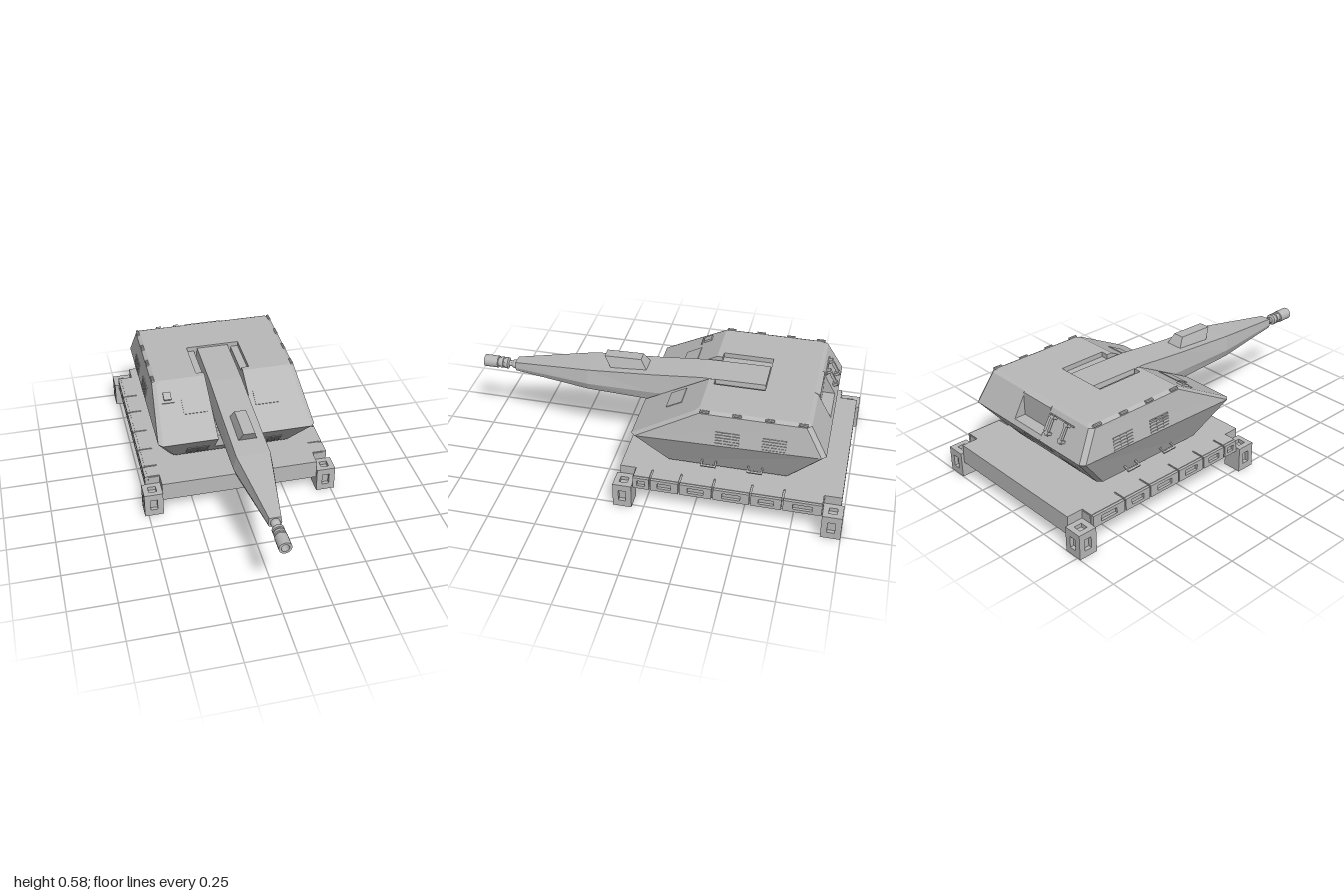
import * as THREE from 'three';

const grey = new THREE.MeshStandardMaterial({ color: 0xb8b8b8, flatShading: true });
grey.name = 'plain grey';

export function createModel() {
  const model = new THREE.Group();
  const add = (name, geo, parent = model) => {
    const m = new THREE.Mesh(geo, grey);
    m.name = name;
    parent.add(m);
    return m;
  };
  const group = (name) => {
    const g = new THREE.Group();
    g.name = name;
    model.add(g);
    return g;
  };
  // box given by its limits
  const span = (name, x0, x1, y0, y1, z0, z1, parent) => add(name,
    new THREE.BoxGeometry(Math.abs(x1 - x0), y1 - y0, Math.abs(z1 - z0))
      .translate((x0 + x1) / 2, (y0 + y1) / 2, (z0 + z1) / 2), parent);
  // box given by size, position and tilt
  const plate = (name, size, pos, rx, rz, parent) => {
    const m = add(name, new THREE.BoxGeometry(...size), parent);
    m.position.set(...pos);
    m.rotation.set(rx, 0, rz);
    return m;
  };
  // side profile of [z, y] points, extruded from x0 to x1
  const slab = (name, pts, x0, x1, parent) => add(name,
    new THREE.ExtrudeGeometry(new THREE.Shape(pts.map(p => new THREE.Vector2(...p))),
      { depth: x1 - x0, bevelEnabled: false }).rotateY(-Math.PI / 2).translate(x1, 0, 0), parent);
  // closed solid through convex loops, turned outward by its signed volume
  const loft = (loops) => {
    const tris = [], n = loops[0].length, last = loops[loops.length - 1];
    for (let i = 0; i + 1 < loops.length; i++) for (let j = 0; j < n; j++) {
      const k = (j + 1) % n, a = loops[i], b = loops[i + 1];
      tris.push([a[j], a[k], b[k]], [a[j], b[k], b[j]]);
    }
    for (let j = 1; j + 1 < n; j++)
      tris.push([loops[0][0], loops[0][j + 1], loops[0][j]], [last[0], last[j], last[j + 1]]);
    const V = p => new THREE.Vector3(...p);
    const vol = tris.reduce((s, [a, b, c]) => s + V(a).dot(V(b).cross(V(c))), 0);
    const pos = tris.flatMap(([a, b, c]) => vol > 0 ? [a, b, c] : [a, c, b]).flat();
    const g = new THREE.BufferGeometry();
    g.setAttribute('position', new THREE.Float32BufferAttribute(pos, 3));
    g.computeVertexNormals();
    return g;
  };
  // upright plate with a rectangular opening, centred, facing +z
  const frame = (w, h, hw, hh, t) => {
    const rect = (P, a, b) => new P([[-a, -b], [a, -b], [a, b], [-a, b]].map(p => new THREE.Vector2(...p)));
    const s = rect(THREE.Shape, w / 2, h / 2);
    s.holes.push(rect(THREE.Path, hw / 2, hh / 2));
    return new THREE.ExtrudeGeometry(s, { depth: t, bevelEnabled: false }).translate(0, 0, -t);
  };

  // Base platform and turntable
  span('platform', -0.42, 0.42, 0.08, 0.183, -0.985, 0.14);
  const ring = add('turntable', new THREE.CylinderGeometry(0.295, 0.295, 0.03, 40));
  ring.position.set(-0.017, 0.193, -0.4);

  for (const s of [-1, 1]) {
    // Corner feet with pocket openings on the outer faces and top
    for (const [z0, z1, d] of [[0.06, 0.157, 1], [-0.9, -1, -1]]) {
      const foot = group('cornerFoot'), t = 0.02;
      span('footCore', s * 0.42, s * 0.5, 0, 0.115, z0, z1 - d * t, foot);
      const zc = (z0 + z1) / 2, len = Math.abs(z1 - z0);
      const front = add('footEndPlate', frame(0.1, 0.135, 0.038, 0.062, t), foot);
      front.position.set(s * 0.47, 0.0675, z1);
      if (d < 0) front.rotation.y = Math.PI;
      const side = add('footSidePlate', frame(len, 0.135, 0.038, 0.062, t), foot);
      side.position.set(s * 0.52, 0.0675, zc);
      side.rotation.y = s * Math.PI / 2;
      const top = add('footTopPlate', frame(0.1, len, 0.042, 0.042, t), foot);
      top.position.set(s * 0.47, 0.135, zc);
      top.rotation.x = -Math.PI / 2;
    }

    // Side rail of slotted segments
    const rail = group('sideRail');
    span('railCore', s * 0.42, s * 0.48, 0.11, 0.178, -0.9, 0.06, rail);
    const cuts = [0.06, -0.03, -0.18, -0.35, -0.54, -0.7, -0.9];
    for (let i = 0; i < 6; i++) {
      const w = cuts[i] - cuts[i + 1] - 0.008, zc = (cuts[i] + cuts[i + 1]) / 2;
      span('railSegment', s * 0.42, s * 0.484, 0.12, 0.183, zc - w / 2, zc + w / 2, rail);
      const f = add('railFrame', frame(w, 0.065, w * 0.5, 0.03, 0.014), rail);
      f.position.set(s * 0.498, 0.1475, zc);
      f.rotation.y = s * Math.PI / 2;
    }

    // Turret side block: [half width, front z, back z, front y, back y] per level
    const levels = [[0.335, -0.07, -0.72, 0.2, 0.2], [0.418, 0.085, -0.885, 0.385, 0.405],
      [0.39, -0.23, -0.8, 0.555, 0.555], [0.37, -0.25, -0.78, 0.566, 0.566]];
    const c = 0.022;
    add('turretSide', loft(levels.map(([X, f, b, yf, yb]) => [
      [s * 0.145, yf, f], [s * (X - c), yf, f], [s * X, yf, f - c],
      [s * X, yb, b + c], [s * (X - c), yb, b], [s * 0.145, yb, b]])));

    // Strip beside the gun, sunk into the roof
    slab('gunRecessStrip', [[-0.07, 0.2], [0.085, 0.385], [-0.23, 0.555], [-0.25, 0.566], [-0.28, 0.566],
      [-0.28, 0.54], [-0.54, 0.54], [-0.54, 0.566], [-0.78, 0.566], [-0.8, 0.555], [-0.885, 0.405],
      [-0.72, 0.2]], s > 0 ? 0.104 : -0.145, s > 0 ? 0.145 : -0.104);

    // Grilles on the lower front and lower back
    const vents = group('grilles');
    for (let i = 0; i < 7; i++) {
      const y = 0.235 + i * 0.01;
      for (const x of [0.166, 0.229]) {
        plate('frontSlat', [0.058, 0.005, 0.008], [s * x, y, -0.07 + (y - 0.2) * 0.838], 0.697, 0, vents);
        plate('backSlat', [0.058, 0.005, 0.008], [s * x, y, -0.72 - (y - 0.2) * 0.805], -0.678, 0, vents);
      }
    }
    // Side louvres
    for (const z of [-0.4, -0.63]) for (const dz of [-0.041, 0, 0.041]) for (let i = 0; i < 5; i++) {
      const y = 0.407 + i * 0.015;
      plate('sideLouvre', [0.01, 0.007, 0.037], [s * (0.4165 - (y - 0.395) * 0.165), y, z + dz], 0, s * 0.163, vents);
    }
    // Flush panel on the front slope
    plate('frontPanel', [0.124, 0.004, 0.09], [s * 0.193, 0.4865, -0.1], 0.495, 0);

    // Side steps and roof hinges
    for (const z of [-0.305, -0.54]) {
      for (const dz of [-0.035, 0.035])
        plate('stepArm', [0.04, 0.008, 0.008], [s * 0.364, 0.235, z + dz], 0, -s * 0.4);
      plate('stepBar', [0.01, 0.01, 0.078], [s * 0.38, 0.228, z], 0, -s * 0.4);
    }
    for (const z of [-0.28, -0.44, -0.6, -0.76]) {
      const h = add('roofHinge', new THREE.CylinderGeometry(0.008, 0.008, 0.045, 8));
      h.rotation.x = Math.PI / 2;
      h.position.set(s * 0.381, 0.562, z);
    }
  }

  // Turret centre with gun slot in front and recess at the back
  slab('turretCentre', [[-0.07, 0.2], [-0.015, 0.265], [-0.015, 0.335], [-0.05, 0.335], [-0.05, 0.36],
    [-0.22, 0.39], [-0.54, 0.4], [-0.54, 0.566], [-0.78, 0.566], [-0.81, 0.553], [-0.81, 0.43],
    [-0.872, 0.43], [-0.885, 0.405], [-0.835, 0.343], [-0.8, 0.343], [-0.8, 0.3], [-0.72, 0.2]], -0.104, 0.104);

  // Tapered gun housing: [z, bottom, top, half width]
  add('gunHousing', loft([[-0.535, 0.39, 0.558, 0.1], [-0.2, 0.375, 0.553, 0.1], [0.05, 0.373, 0.53, 0.1],
    [0.4, 0.387, 0.506, 0.1], [0.82, 0.402, 0.452, 0.034]].map(([z, b, t, w]) => {
    const k = b + (t - b) * 0.35;
    return [[-w * 0.85, b, z], [w * 0.85, b, z], [w, k, z], [w * 0.86, t, z], [-w * 0.86, t, z], [-w, k, z]];
  })));

  // Barrel with collars and hollow muzzle
  const barrel = add('barrel', new THREE.LatheGeometry([[0, 0.8], [0.024, 0.8], [0.024, 0.835], [0.016, 0.85],
    [0.016, 0.862], [0.03, 0.868], [0.03, 0.885], [0.025, 0.887], [0.025, 0.893], [0.03, 0.895], [0.03, 0.91],
    [0.025, 0.912], [0.025, 0.922], [0.032, 0.924], [0.032, 1], [0.02, 1], [0.02, 0.95], [0, 0.95]]
    .map(p => new THREE.Vector2(...p)), 20));
  barrel.rotation.x = Math.PI / 2;
  barrel.position.y = 0.423;

  // Sight on the housing: leaning forward, narrower on top
  add('sight', loft([[[-0.05, 0.505, 0.28], [0.05, 0.505, 0.28], [0.05, 0.515, 0.085], [-0.05, 0.515, 0.085]],
    [[-0.03, 0.571, 0.32], [0.03, 0.571, 0.32], [0.03, 0.576, 0.125], [-0.03, 0.576, 0.125]]]));

  // Small hatch on the front slope
  plate('sensorBox', [0.04, 0.014, 0.045], [-0.325, 0.522, -0.162], 0.495, 0);
  plate('sensorSill', [0.065, 0.006, 0.006], [-0.325, 0.504, -0.13], 0.495, 0);

  // Grab bars on the back
  for (const x of [-0.25, -0.15]) {
    plate('grabBar', [0.014, 0.1, 0.014], [x, 0.495, -0.855], 0.515, 0);
    for (const [y, z] of [[0.53, -0.826], [0.46, -0.866]])
      plate('grabBracket', [0.028, 0.014, 0.03], [x, y, z], 0.515, 0);
  }
  plate('grabSill', [0.17, 0.006, 0.01], [-0.2, 0.53, -0.816], 0.515, 0);

  return model;
}
